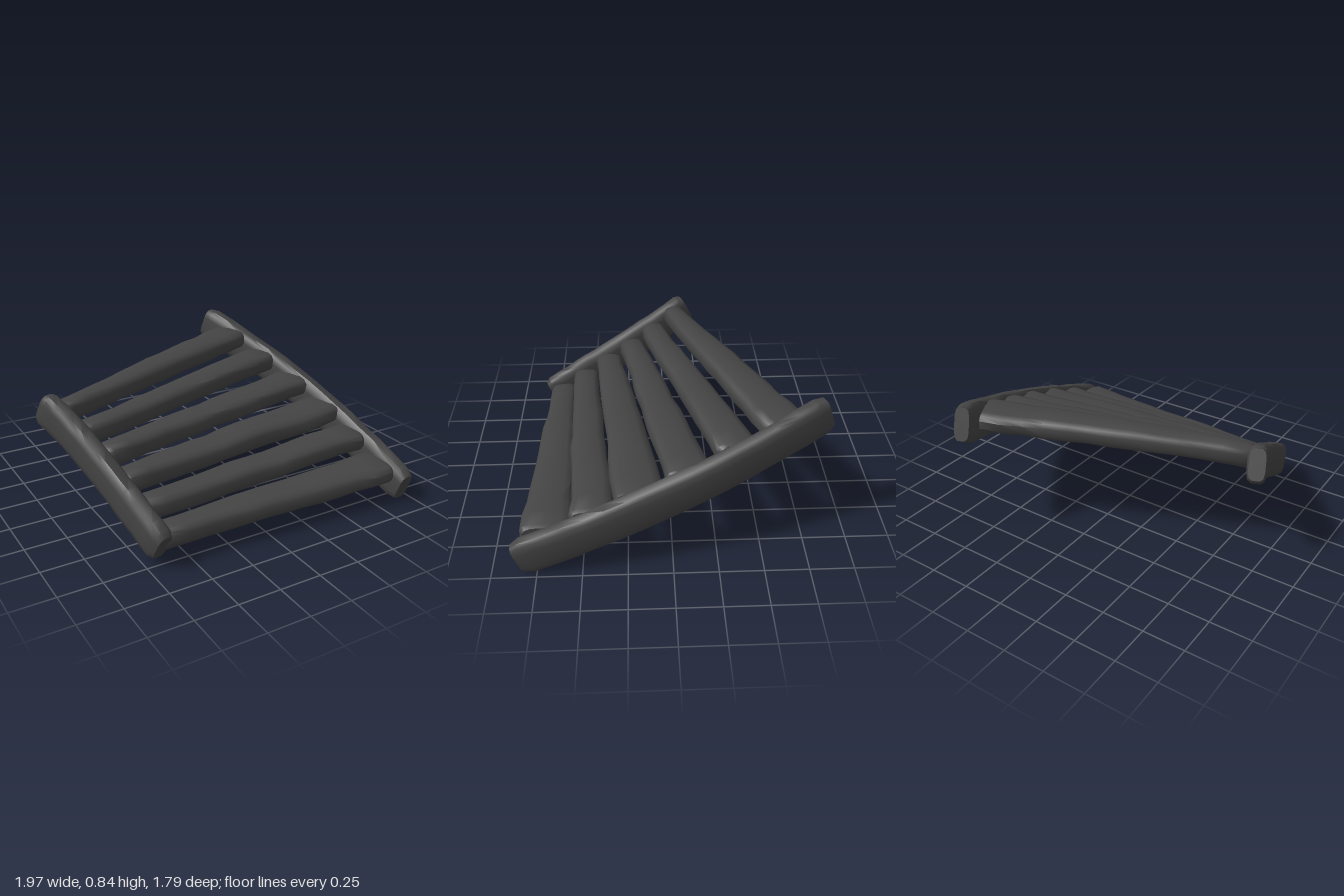
import * as THREE from 'three';
import { toCreasedNormals } from 'three/addons/utils/BufferGeometryUtils.js';

const wood = new THREE.MeshStandardMaterial({ color: 0x444444 });

// Small seeded generator, -1..1
let seed = 7;
const rnd = () => {
  seed = (seed * 16807) % 2147483647;
  return (seed / 2147483647) * 2 - 1;
};

// Rounded-box beam swept along a curve; size(u) gives half width and half height
function beam(name, curve, size, { steps, sides, round, rough, bevel, inset }) {
  const pos = [], idx = [];
  const up = new THREE.Vector3(0, 1, 0);
  const stations = [0, bevel];
  for (let i = 1; i < steps; i++) stations.push(bevel + (1 - 2 * bevel) * (i / steps));
  stations.push(1 - bevel, 1);
  const power = (v) => Math.sign(v) * Math.pow(Math.abs(v), round);

  stations.forEach((u, i) => {
    const c = curve.getPointAt(u);
    const t = curve.getTangentAt(u);
    const side = new THREE.Vector3().crossVectors(up, t).normalize();
    const top = new THREE.Vector3().crossVectors(t, side);
    const k = i === 0 || i === stations.length - 1 ? inset : 1;
    const [w, h] = size(u);
    const wide = 1 + rnd() * rough, tall = 1 + rnd() * rough;
    for (let j = 0; j < sides; j++) {
      const a = ((j + 0.5) / sides) * Math.PI * 2;
      const p = c.clone()
        .addScaledVector(side, power(Math.cos(a)) * w * k * wide * (1 + rnd() * rough * 0.5))
        .addScaledVector(top, power(Math.sin(a)) * h * k * tall * (1 + rnd() * rough * 0.5));
      pos.push(p.x, p.y, p.z);
    }
  });

  // Skin between neighbouring rings
  const n = stations.length;
  for (let i = 0; i < n - 1; i++) {
    for (let j = 0; j < sides; j++) {
      const a = i * sides + j, b = i * sides + ((j + 1) % sides);
      idx.push(a, b, b + sides, a, b + sides, a + sides);
    }
  }
  // End caps
  const s = curve.getPointAt(0), e = curve.getPointAt(1);
  pos.push(s.x, s.y, s.z, e.x, e.y, e.z);
  const c0 = n * sides, c1 = c0 + 1, last = (n - 1) * sides;
  for (let j = 0; j < sides; j++) {
    const k = (j + 1) % sides;
    idx.push(c0, k, j, c1, last + j, last + k);
  }

  const geo = new THREE.BufferGeometry();
  geo.setAttribute('position', new THREE.Float32BufferAttribute(pos, 3));
  geo.setIndex(idx);
  const mesh = new THREE.Mesh(toCreasedNormals(geo, 0.75), wood);
  mesh.name = name;
  return mesh;
}

// Curved rail whose height falls evenly from back to front
function rail(name, plan, yBack, yFront, halfHeight) {
  const z0 = plan[0][1], z1 = plan[plan.length - 1][1];
  const pts = plan.map(([x, z]) =>
    new THREE.Vector3(x, yBack + ((yFront - yBack) * (z - z0)) / (z1 - z0), z));
  return beam(name, new THREE.CatmullRomCurve3(pts), () => [0.056, halfHeight],
    { steps: 14, sides: 12, round: 0.55, rough: 0.03, bevel: 0.03, inset: 0.82 });
}

export function createModel() {
  seed = 7;
  const group = new THREE.Group();
  group.name = 'curvedStair';

  // Side rails
  group.add(rail('outerRail',
    [[0.555, -0.862], [0.695, -0.5], [0.79, -0.2], [0.87, 0.2], [0.92, 0.6], [0.933, 0.855]],
    0.77, 0.107, 0.115));
  group.add(rail('innerRail',
    [[-0.935, -0.165], [-0.86, 0.02], [-0.80, 0.22], [-0.75, 0.42], [-0.71, 0.6], [-0.67, 0.775]],
    0.66, 0.14, 0.108));

  // Steps, back to front: z of the joints at the inner and outer ends
  const joints = [[-0.13, -0.77], [0.0, -0.48], [0.15, -0.24], [0.3, 0.03],
    [0.46, 0.32], [0.62, 0.56], [0.775, 0.84]];
  const innerX = [-0.85, -0.79, -0.745, -0.715, -0.685, -0.66];
  const outerX = [0.615, 0.7, 0.785, 0.835, 0.86, 0.865];
  for (let i = 0; i < 6; i++) {
    const [a, b] = [joints[i], joints[i + 1]];
    const rise = 5 - i;
    const from = new THREE.Vector3(innerX[i], 0.165 + rise * 0.097, (a[0] + b[0]) / 2);
    const to = new THREE.Vector3(outerX[i], 0.2 + rise * 0.103, (a[1] + b[1]) / 2);
    const pts = [];
    for (let k = 0; k <= 5; k++) {
      const p = from.clone().lerp(to, k / 5);
      if (k > 0 && k < 5) p.add(new THREE.Vector3(0, rnd() * 0.006, rnd() * 0.008));
      pts.push(p);
    }
    const flat = Math.cos(Math.atan2(to.z - from.z, to.x - from.x)) * 0.515;
    const size = (u) => [THREE.MathUtils.lerp(b[0] - a[0], b[1] - a[1], u) * flat, 0.064];
    group.add(beam('step' + (i + 1), new THREE.CatmullRomCurve3(pts), size,
      { steps: 12, sides: 14, round: 0.65, rough: 0.05, bevel: 0.015, inset: 0.88 }));
  }
  return group;
}
